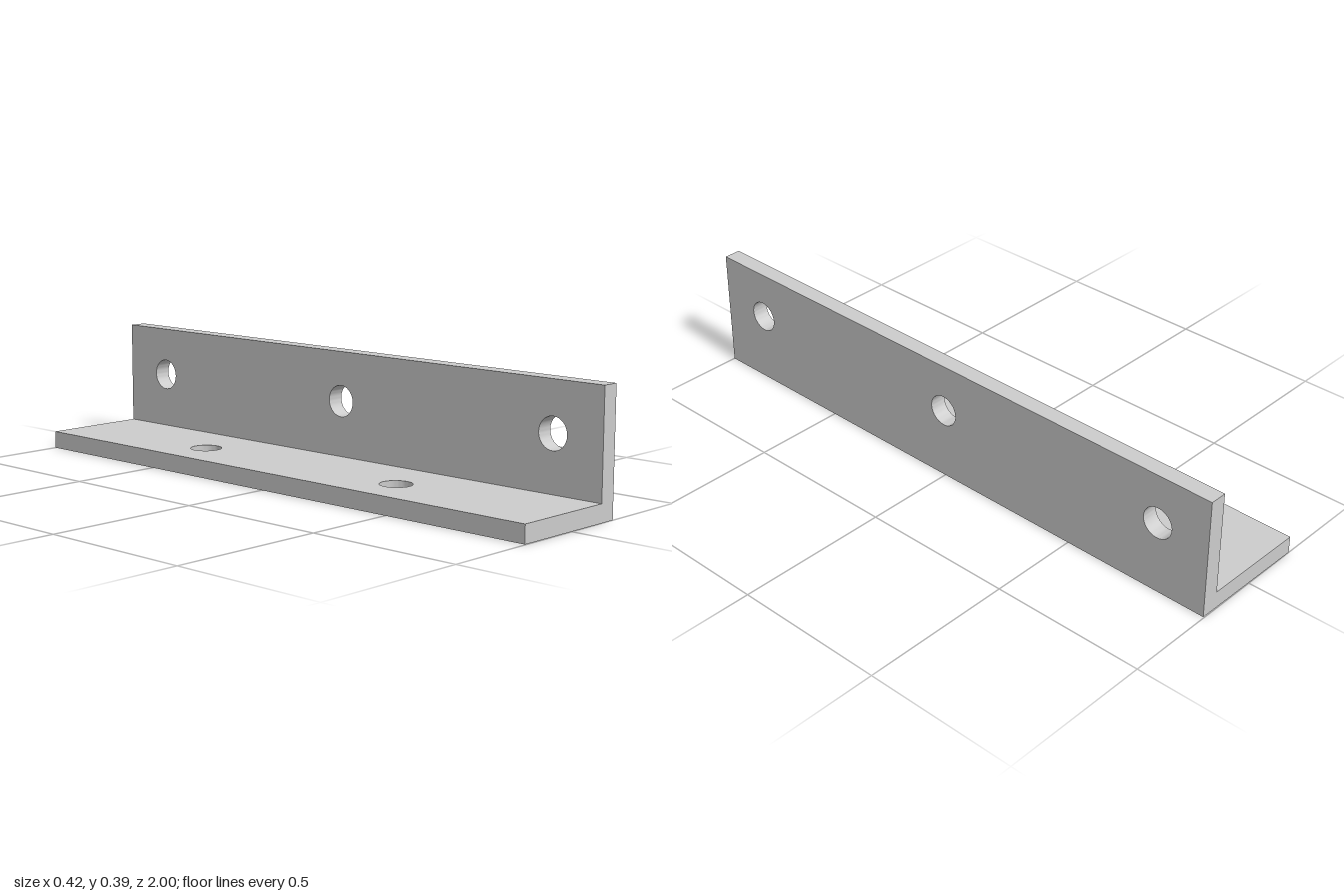
import * as THREE from 'three';
import { toCreasedNormals } from 'three/addons/utils/BufferGeometryUtils.js';

const LENGTH = 1.997, HALF = 0.201, HEIGHT = 0.39;
const WALL = 0.055, BASE = 0.056, HOLE_RADIUS = 0.05;

// Rectangular plate with round bolt holes, extruded along +z
function drilledPlate(x0, x1, y0, y1, thickness, holes) {
  const shape = new THREE.Shape([
    new THREE.Vector2(x0, y0), new THREE.Vector2(x1, y0),
    new THREE.Vector2(x1, y1), new THREE.Vector2(x0, y1),
  ]);
  for (const [x, y] of holes) {
    shape.holes.push(new THREE.Path().absarc(x, y, HOLE_RADIUS, 0, Math.PI * 2, true));
  }
  return new THREE.ExtrudeGeometry(shape, { depth: thickness, bevelEnabled: false, curveSegments: 24 });
}

export function createModel() {
  const model = new THREE.Group();
  model.name = 'angleBracket';
  const steel = new THREE.MeshStandardMaterial({ color: 0xcccccc });
  steel.name = 'light grey metal';

  const add = (name, geometry) => {
    const mesh = new THREE.Mesh(toCreasedNormals(geometry, Math.PI / 6), steel);
    mesh.name = name;
    model.add(mesh);
  };

  // Upright flange with three holes
  const upright = drilledPlate(-LENGTH / 2, LENGTH / 2, 0, HEIGHT, WALL,
    [-0.822, 0.003, 0.825].map((z) => [z, 0.233]));
  upright.rotateY(-Math.PI / 2).translate(HALF, 0, 0);
  add('uprightFlange', upright);

  // Flat flange with two holes, butted against the upright
  const flat = drilledPlate(-HALF, HALF - WALL, -LENGTH / 2, LENGTH / 2, BASE,
    [-0.409, 0.409].map((z) => [-0.05, z]));
  flat.rotateX(-Math.PI / 2);
  add('flatFlange', flat);

  // The whole bracket sits very slightly turned
  model.rotation.y = -0.0067;
  return model;
}
